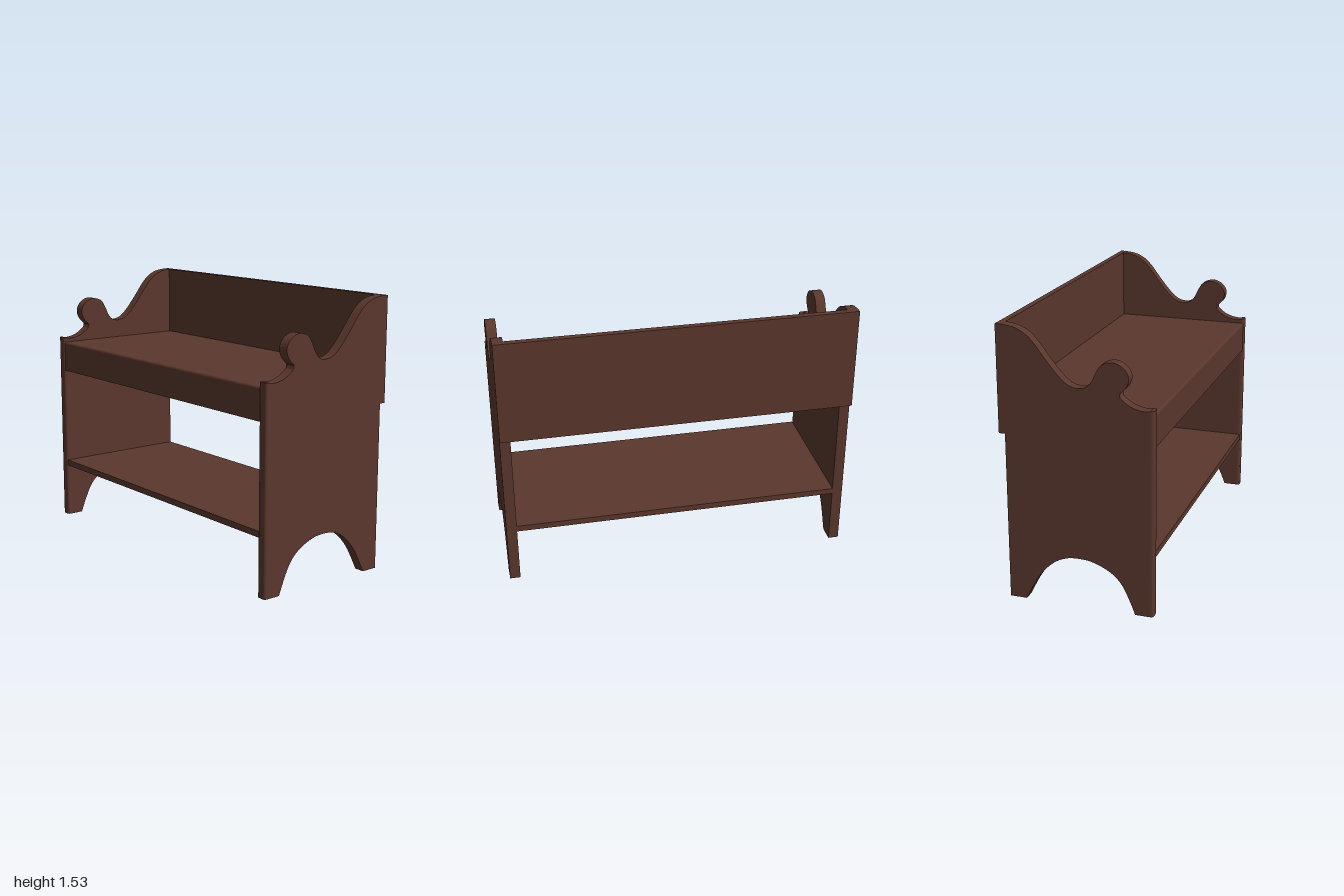
import * as THREE from 'three';
import { toCreasedNormals } from 'three/addons/utils/BufferGeometryUtils.js';

const FRONT = 0.425, BACK = -0.39, INNER = 0.94, THICK = 0.06;
const v = (pts) => pts.map(([a, b]) => new THREE.Vector2(a, b));

// Extrudes a (z, y) profile along x, centred on x = 0
function acrossX(shape, width) {
  const g = new THREE.ExtrudeGeometry(shape, { depth: width, bevelEnabled: false, curveSegments: 8 });
  g.translate(0, 0, -width / 2);
  g.rotateY(-Math.PI / 2);
  return toCreasedNormals(g, 0.6);
}

// Side panel: arched foot, scrolled knob and swept back
function sideShape(front) {
  const s = new THREE.Shape();
  s.moveTo(BACK, 0);
  s.lineTo(-0.295, 0);
  s.splineThru(v([[-0.22, 0.14], [-0.14, 0.23], [-0.06, 0.272], [0.02, 0.28], [0.1, 0.268],
    [0.19, 0.225], [0.25, 0.165], [0.295, 0.075], [0.325, 0]]));
  s.lineTo(front, 0);
  s.lineTo(front, 1.145);
  s.splineThru(v([[0.36, 1.143], [0.3, 1.16], [0.25, 1.195], [0.242, 1.22]]));
  s.splineThru(v([[0.28, 1.26], [0.291, 1.31], [0.265, 1.355], [0.21, 1.38], [0.15, 1.365],
    [0.12, 1.325], [0.09, 1.265], [0.06, 1.237], [0.02, 1.228], [-0.03, 1.24], [-0.08, 1.28],
    [-0.15, 1.362], [-0.21, 1.44], [-0.26, 1.489], [-0.32, 1.519], [BACK, 1.53]]));
  s.closePath();
  return s;
}

// Rounded front edge of a side panel, drawn in plan and extruded upward
function edgeGeometry(depth, height) {
  const h = THICK / 2, r = 0.018;
  const s = new THREE.Shape();
  s.moveTo(-h, 0);
  s.lineTo(h, 0);
  s.lineTo(h, -(depth - r));
  s.quadraticCurveTo(h, -depth, h - r, -depth);
  s.lineTo(-h + r, -depth);
  s.quadraticCurveTo(-h, -depth, -h, -(depth - r));
  s.closePath();
  const g = new THREE.ExtrudeGeometry(s, { depth: height, bevelEnabled: false, curveSegments: 5 });
  g.rotateX(-Math.PI / 2);
  return toCreasedNormals(g, 0.6);
}

export function createModel() {
  const group = new THREE.Group();
  group.name = 'bench';
  const wood = new THREE.MeshStandardMaterial({ color: 0x5a372d });
  wood.name = 'dark brown wood';
  const add = (name, geometry, x = 0, y = 0, z = 0) => {
    const mesh = new THREE.Mesh(geometry, wood);
    mesh.name = name;
    mesh.position.set(x, y, z);
    group.add(mesh);
  };

  // Matching side panels with rounded front edges
  const edgeStart = 0.405;
  const panel = acrossX(sideShape(edgeStart), THICK);
  const edge = edgeGeometry(FRONT - edgeStart, 1.147);
  for (const [side, sign] of [['left', 1], ['right', -1]]) {
    const x = sign * (INNER + THICK / 2);
    add(side + 'SidePanel', panel, x);
    add(side + 'FrontEdge', edge, x, 0, edgeStart);
  }

  // Seat with a softened front edge
  const seat = new THREE.Shape();
  seat.moveTo(BACK, 1.085);
  seat.lineTo(0.42, 1.085);
  seat.lineTo(0.42, 1.108);
  seat.quadraticCurveTo(0.42, 1.12, 0.408, 1.12);
  seat.lineTo(BACK, 1.12);
  seat.closePath();
  add('seat', acrossX(seat, INNER * 2));

  // Apron, lower shelf and full-width back board
  add('apron', new THREE.BoxGeometry(INNER * 2, 0.145, 0.035), 0, 1.0125, 0.4025);
  add('lowerShelf', new THREE.BoxGeometry(INNER * 2, 0.035, 0.81), 0, 0.3425, 0.015);
  add('backBoard', new THREE.BoxGeometry(2, 0.59, 0.035), 0, 1.235, -0.4075);
  return group;
}
